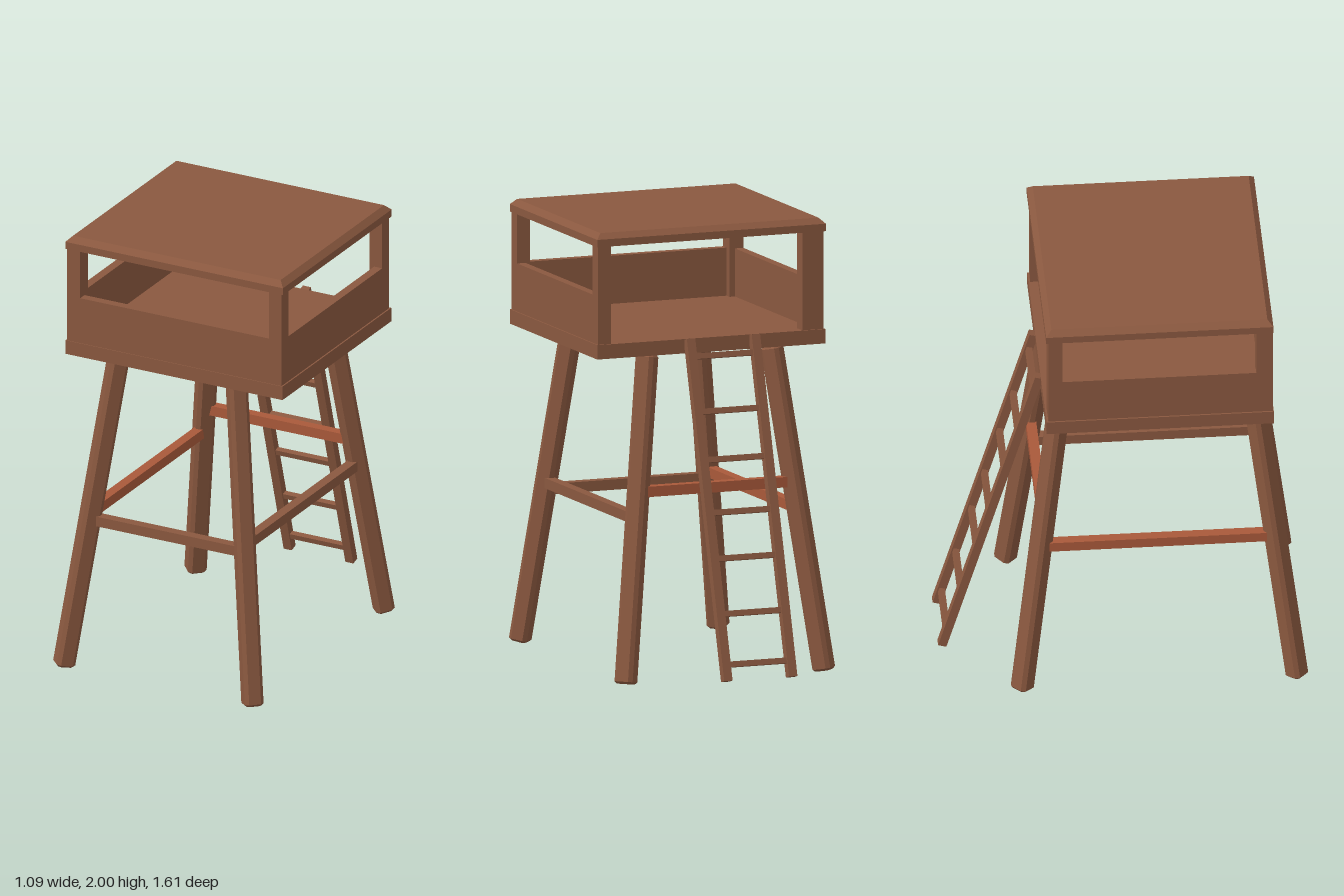
import * as THREE from 'three';

const wood = new THREE.MeshStandardMaterial({ color: 0x8a583f });
wood.name = 'brown wood';
const redWood = new THREE.MeshStandardMaterial({ color: 0xa9593a });
redWood.name = 'reddish wood';

const CZ = 0.147; // centre of the cabin along z

export function createModel() {
  const root = new THREE.Group();
  root.name = 'watchtower';

  const add = (parent, name, geometry, material = wood) => {
    const mesh = new THREE.Mesh(geometry, material);
    mesh.name = name;
    parent.add(mesh);
    return mesh;
  };

  // box given by its limits on each axis
  const block = (parent, name, [x0, x1], [y0, y1], [z0, z1], material) => {
    const mesh = add(parent, name, new THREE.BoxGeometry(x1 - x0, y1 - y0, z1 - z0), material);
    mesh.position.set((x0 + x1) / 2, (y0 + y1) / 2, (z0 + z1) / 2);
    return mesh;
  };

  // cabin floor, low walls on three sides, open at the back
  const cabin = new THREE.Group();
  cabin.name = 'cabin';
  root.add(cabin);
  const zF = CZ + 0.498, zB = CZ - 0.49, X = 0.535, T = 0.04;
  block(cabin, 'floor', [-0.542, 0.542], [1.442, 1.506], [CZ - 0.498, CZ + 0.502]);
  block(cabin, 'frontWall', [-X, X], [1.506, 1.72], [zF - T, zF]);
  for (const s of [-1, 1]) {
    const xs = [s * X, s * (X - T)].sort((a, b) => a - b);
    block(cabin, s > 0 ? 'leftWall' : 'rightWall', xs, [1.506, 1.72], [zB, zF - T]);
  }

  // corner posts; one back post is wider
  const postY = [1.506, 1.942];
  block(cabin, 'frontRightPost', [-X, -0.47], postY, [zF - 0.073, zF]);
  block(cabin, 'frontLeftPost', [0.473, X], postY, [zF - 0.063, zF]);
  block(cabin, 'backRightPost', [-X, -0.435], postY, [zB, zB + 0.063]);
  block(cabin, 'backLeftPost', [0.473, X], postY, [zB, zB + 0.063]);

  // roof slab with a chamfered upper edge
  block(cabin, 'roofSlab', [-0.543, 0.543], [1.942, 1.975], [CZ - 0.5, CZ + 0.5]);
  const cap = new THREE.BoxGeometry(1.086, 0.025, 1).toNonIndexed();
  const p = cap.attributes.position;
  for (let i = 0; i < p.count; i++) {
    if (p.getY(i) > 0) {
      p.setX(i, Math.sign(p.getX(i)) * 0.518);
      p.setZ(i, Math.sign(p.getZ(i)) * 0.475);
    }
  }
  cap.computeVertexNormals();
  add(cabin, 'roofCap', cap).position.set(0, 1.9875, CZ);

  // splayed legs: chamfered square section turned to the diagonal
  const h = 0.033, c = 0.01;
  const section = new THREE.Shape([
    [h, -h + c], [h, h - c], [h - c, h], [-h + c, h],
    [-h, h - c], [-h, -h + c], [-h + c, -h], [h - c, -h],
  ].map(([x, y]) => new THREE.Vector2(x, y)));
  for (const sx of [-1, 1]) {
    for (const sz of [-1, 1]) {
      const foot = new THREE.Vector3(-0.021 + sx * 0.471, 0.008, 0.15 + sz * 0.605);
      const top = new THREE.Vector3(-0.021 + sx * 0.297, 1.436, 0.15 + sz * 0.428);
      const length = foot.distanceTo(top), b = 0.01;
      const geometry = new THREE.ExtrudeGeometry(section, {
        depth: length - 2 * b, bevelEnabled: true, bevelThickness: b,
        bevelSize: b, bevelSegments: 1,
      });
      geometry.translate(0, 0, b);
      const leg = add(root, (sz > 0 ? 'front' : 'back') + (sx > 0 ? 'Left' : 'Right') + 'Leg', geometry);
      leg.position.copy(foot);
      const zAxis = top.clone().sub(foot).normalize();
      const xAxis = new THREE.Vector3(sz, 0, -sx).normalize();
      const yAxis = zAxis.clone().cross(xAxis);
      leg.quaternion.setFromRotationMatrix(new THREE.Matrix4().makeBasis(xAxis, yAxis, zAxis));
    }
  }

  // horizontal braces between the legs
  block(root, 'frontBrace', [-0.4, 0.36], [0.67, 0.716], [0.645, 0.69]);
  block(root, 'backBrace', [-0.385, 0.345], [0.818, 0.864], [-0.375, -0.33], redWood);
  block(root, 'leftBrace', [0.34, 0.385], [0.702, 0.748], [-0.35, 0.65]);
  block(root, 'rightBrace', [-0.427, -0.382], [0.702, 0.748], [-0.35, 0.65], redWood);

  // ladder leaning against the open back
  const ladder = new THREE.Group();
  ladder.name = 'ladder';
  root.add(ladder);
  const low = new THREE.Vector3(-0.047, 0.05, -0.785);
  const high = new THREE.Vector3(-0.047, 1.505, -0.358);
  const run = high.clone().sub(low);
  ladder.position.copy(low);
  ladder.rotation.x = Math.atan2(run.z, run.y);
  const len = run.length();
  for (const s of [-1, 1]) {
    block(ladder, 'ladderRail', [s * 0.154 - 0.02, s * 0.154 + 0.02], [0, len], [-0.019, 0.019]);
  }
  for (const y of [0.12, 0.335, 0.57, 0.765, 0.99, 1.195, 1.43]) {
    const d = ((y - low.y) / run.y) * len;
    block(ladder, 'ladderRung', [-0.136, 0.136], [d - 0.0125, d + 0.0125], [-0.0125, 0.0125]);
  }
  return root;
}
